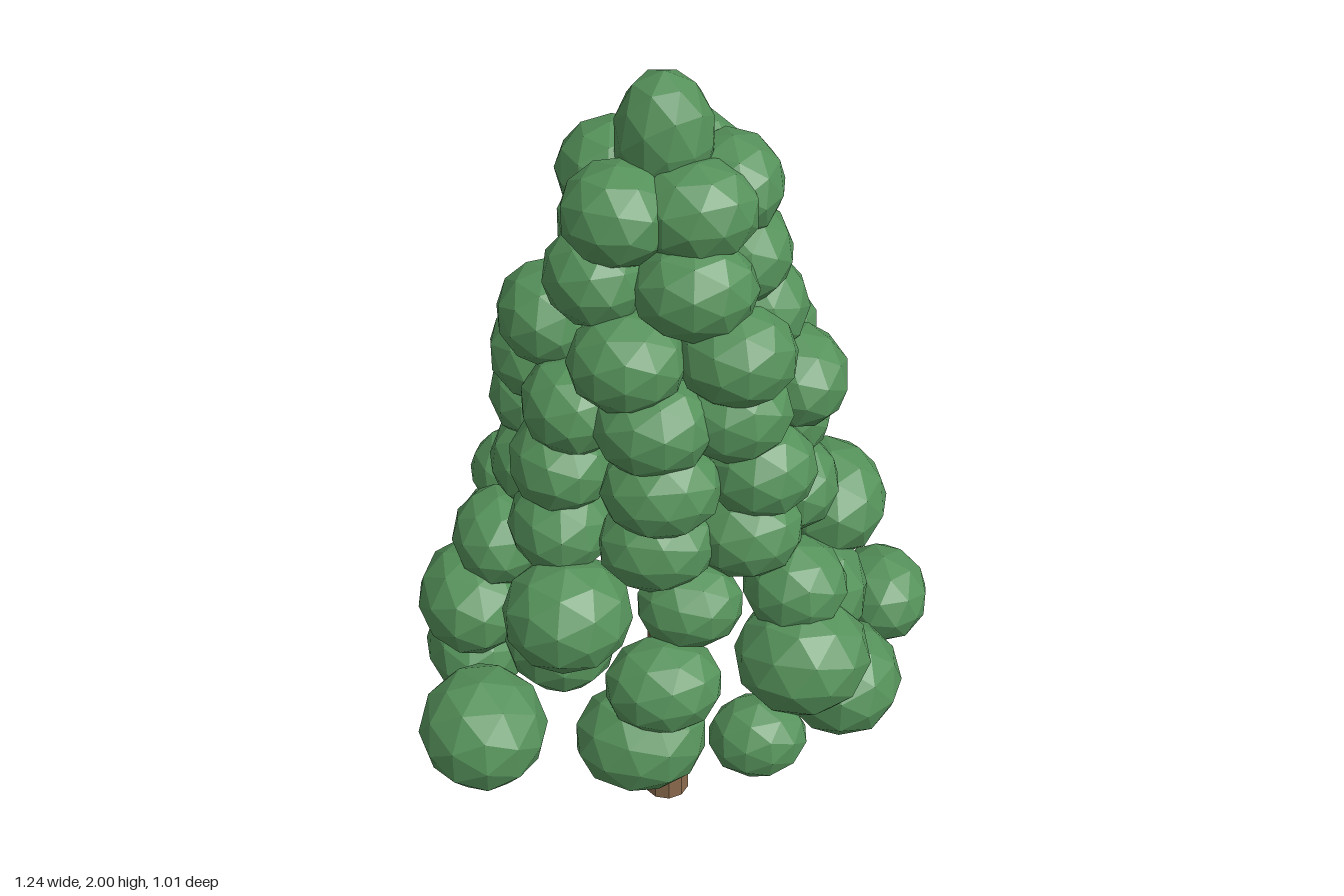
import * as THREE from 'three';

// Wide, uneven lower tiers: [x, z, size] of each clump
const SKIRTS = [
  { y: 0.54, clumps: [
    [-0.47, 0.3, 0.15], [0.36, 0.23, 0.145], [0.51, -0.05, 0.122], [-0.12, 0.37, 0.14],
    [0.14, 0.4, 0.105], [0.23, -0.37, 0.148], [0.04, -0.4, 0.11], [-0.41, -0.28, 0.12], [-0.47, 0.01, 0.13]] },
  { y: 0.7, clumps: [
    [-0.47, 0.03, 0.14], [-0.07, 0.38, 0.122], [0.25, 0.32, 0.15], [0.3, 0.09, 0.15], [0.41, -0.25, 0.112],
    [0.14, -0.39, 0.13], [-0.18, -0.4, 0.115], [-0.39, -0.23, 0.105], [-0.28, 0.2, 0.13]] },
  { y: 0.85, clumps: [
    [-0.27, 0.29, 0.142], [-0.4, 0, 0.12], [0, 0.29, 0.11], [0.24, 0.25, 0.118], [0.37, -0.05, 0.145],
    [0.24, -0.33, 0.142], [-0.08, -0.3, 0.13], [-0.35, -0.24, 0.11]] },
];

// Upper rings: first angle in degrees, then the reach of each evenly spaced clump
const RINGS = [
  { start: 15, reaches: [0.26, 0.26, 0.26, 0.31, 0.31, 0.34, 0.31, 0.28] },
  { start: 0, reaches: [0.24, 0.26, 0.26, 0.29, 0.32, 0.26, 0.31] },
  { start: 17, reaches: [0.27, 0.22, 0.24, 0.26, 0.3, 0.25, 0.3, 0.25] },
  { start: 2, reaches: [0.18, 0.23, 0.23, 0.27, 0.24, 0.24] },
  { start: 10, reaches: [0.14, 0.17, 0.19, 0.17, 0.16] },
  { start: 0, reaches: [0.12, 0.11, 0.16, 0.15, 0.12] },
];

export function createModel() {
  const tree = new THREE.Group();
  tree.name = 'tree';
  const leafMaterial = new THREE.MeshStandardMaterial({ color: 0x55915a, flatShading: true });
  const barkMaterial = new THREE.MeshStandardMaterial({ color: 0x8a6a4c, flatShading: true });

  // Tapered trunk running up inside the foliage
  const trunk = new THREE.Mesh(new THREE.CylinderGeometry(0.018, 0.056, 1.8, 10), barkMaterial);
  trunk.name = 'trunk';
  trunk.position.set(-0.02, 0.9, 0);
  tree.add(trunk);

  // Faceted clump, turned a little so that neighbours differ
  let turn = 0;
  function addBlob(parent, name, x, y, z, rx, ry, rz) {
    const geometry = new THREE.IcosahedronGeometry(1, 1);
    geometry.rotateY(turn++ * 2.4);
    geometry.scale(rx, ry, rz);
    const blob = new THREE.Mesh(geometry, leafMaterial);
    blob.name = name;
    blob.position.set(x, y, z);
    parent.add(blob);
  }

  // Foliage clump, flattened and wider around the trunk than outwards
  function addClump(tier, x, y, z, size) {
    const across = (z * z) / (x * x + z * z);
    addBlob(tier, 'foliageClump', x, y, z, size * (0.92 + 0.18 * across), size * 0.9, size * (1.1 - 0.18 * across));
  }

  function addTier(name) {
    const tier = new THREE.Group();
    tier.name = name;
    tree.add(tier);
    return tier;
  }

  SKIRTS.forEach(({ y, clumps }, i) => {
    const tier = addTier(`lowerTier${i + 1}`);
    for (const [x, z, size] of clumps) addClump(tier, x, y, z, size);
  });

  RINGS.forEach(({ start, reaches }, i) => {
    const tier = addTier(`upperTier${i + 1}`);
    reaches.forEach((reach, k) => {
      const angle = THREE.MathUtils.degToRad(start + (360 * k) / reaches.length);
      addClump(tier, reach * Math.cos(angle), 1 + 0.147 * i, reach * Math.sin(angle), 0.122);
    });
  });

  // Rounded point at the top
  addBlob(tree, 'crown', -0.02, 1.85, 0, 0.107, 0.15, 0.107);
  return tree;
}
